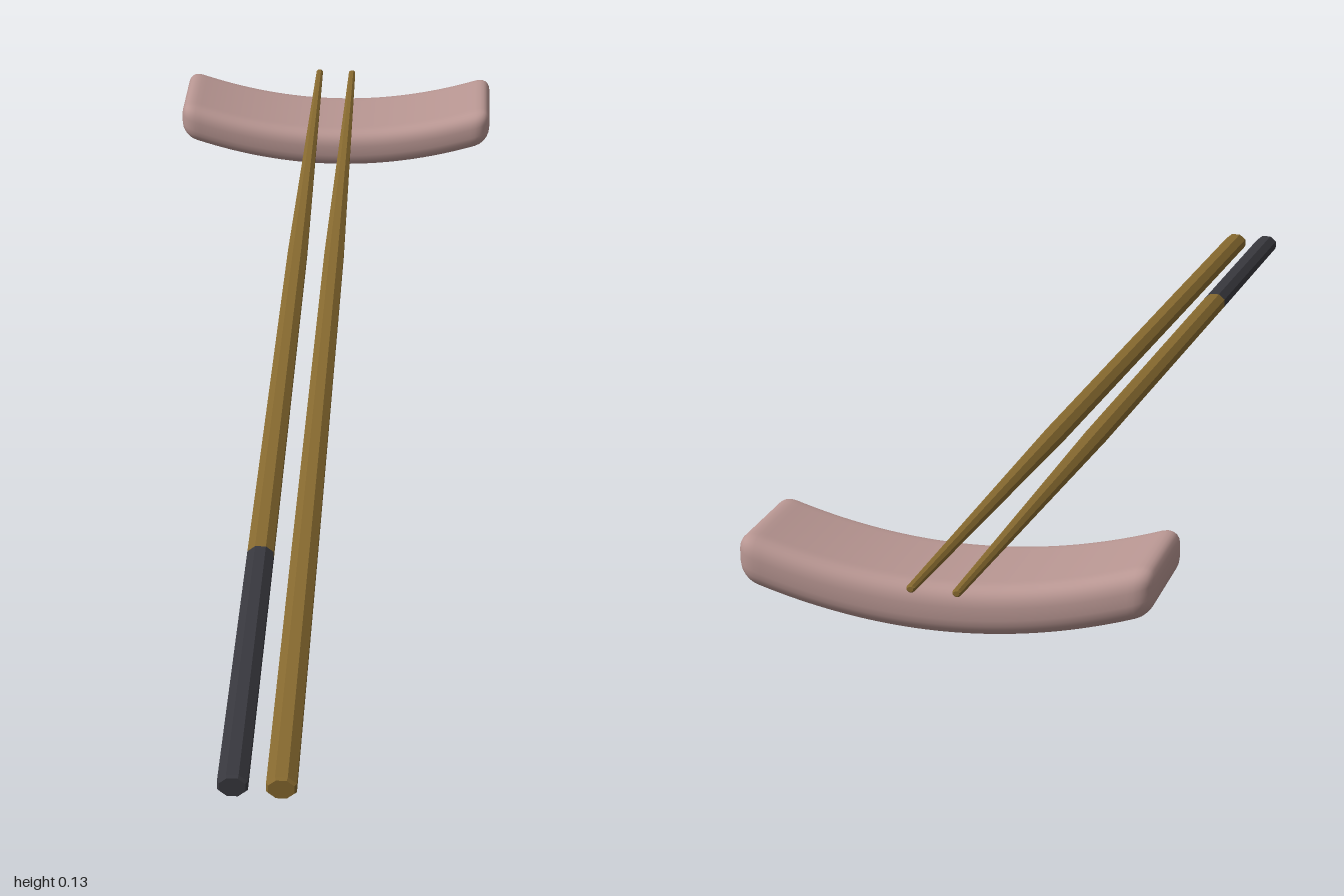
import * as THREE from 'three';
import { mergeVertices } from 'three/addons/utils/BufferGeometryUtils.js';

const wood = new THREE.MeshStandardMaterial({ color: 0x86692f, flatShading: true });
const dark = new THREE.MeshStandardMaterial({ color: 0x38383e, flatShading: true });
const clay = new THREE.MeshStandardMaterial({ color: 0xb89692 });

const LENGTH = 2.51, HANDLE = 0.6;

// Closed eight-sided rod from [radius, height] pairs, slightly flatter than wide
function rod(name, points, material) {
  const profile = points.map(([r, y]) => new THREE.Vector2(r, y));
  const geometry = new THREE.LatheGeometry(profile, 8, Math.PI / 8);
  geometry.scale(1, 1, 0.84);
  const mesh = new THREE.Mesh(geometry, material);
  mesh.name = name;
  return mesh;
}

// Tapered stick from its thick end to its tip
function chopstick(name, butt, tip, handleMaterial) {
  const stick = new THREE.Group();
  stick.name = name;
  stick.add(
    rod('handle', [[0, 0], [0.021, 0], [0.0245, 0.005], [0.0235, HANDLE], [0, HANDLE]], handleMaterial),
    rod('shaft', [[0, HANDLE], [0.0235, HANDLE], [0.0205, 1.65], [0.0075, LENGTH - 0.003],
      [0.005, LENGTH], [0, LENGTH]], wood)
  );
  const along = tip.clone().sub(butt).normalize();
  const side = along.clone().cross(new THREE.Vector3(0, 1, 0)).normalize();
  const up = side.clone().cross(along);
  stick.quaternion.setFromRotationMatrix(new THREE.Matrix4().makeBasis(side, along, up));
  stick.position.copy(butt);
  return stick;
}

// Rounded bar whose ends curve upward
function chopstickRest() {
  const half = new THREE.Vector3(0.33, 0.04, 0.11), r = 0.03;
  let geometry = new THREE.BoxGeometry(half.x * 2, half.y * 2, half.z * 2, 66, 8, 22);
  geometry.deleteAttribute('normal');
  geometry.deleteAttribute('uv');
  geometry = mergeVertices(geometry);
  const inner = half.clone().subScalar(r), low = inner.clone().negate();
  const p = new THREE.Vector3(), core = new THREE.Vector3();
  const position = geometry.attributes.position;
  for (let i = 0; i < position.count; i++) {
    p.fromBufferAttribute(position, i);
    core.copy(p).clamp(low, inner);
    p.sub(core).setLength(r).add(core);
    p.y += half.y + 0.06 * (p.x / half.x) ** 2;
    position.setXYZ(i, p.x, p.y, p.z);
  }
  geometry.computeVertexNormals();
  const rest = new THREE.Mesh(geometry, clay);
  rest.name = 'chopstickRest';
  rest.position.set(0.7, 0.003, -0.7);
  rest.rotation.y = -Math.PI / 4;
  return rest;
}

export function createModel() {
  const model = new THREE.Group();
  model.name = 'chopsticksOnRest';
  const v = (x, y, z) => new THREE.Vector3(x, y, z);
  model.add(
    chopstickRest(),
    chopstick('darkHandledChopstick', v(-0.977, 0.021, 0.913), v(0.8, 0.106, -0.867), dark),
    chopstick('plainChopstick', v(-0.927, 0.021, 0.965), v(0.85, 0.106, -0.815), wood)
  );
  return model;
}
